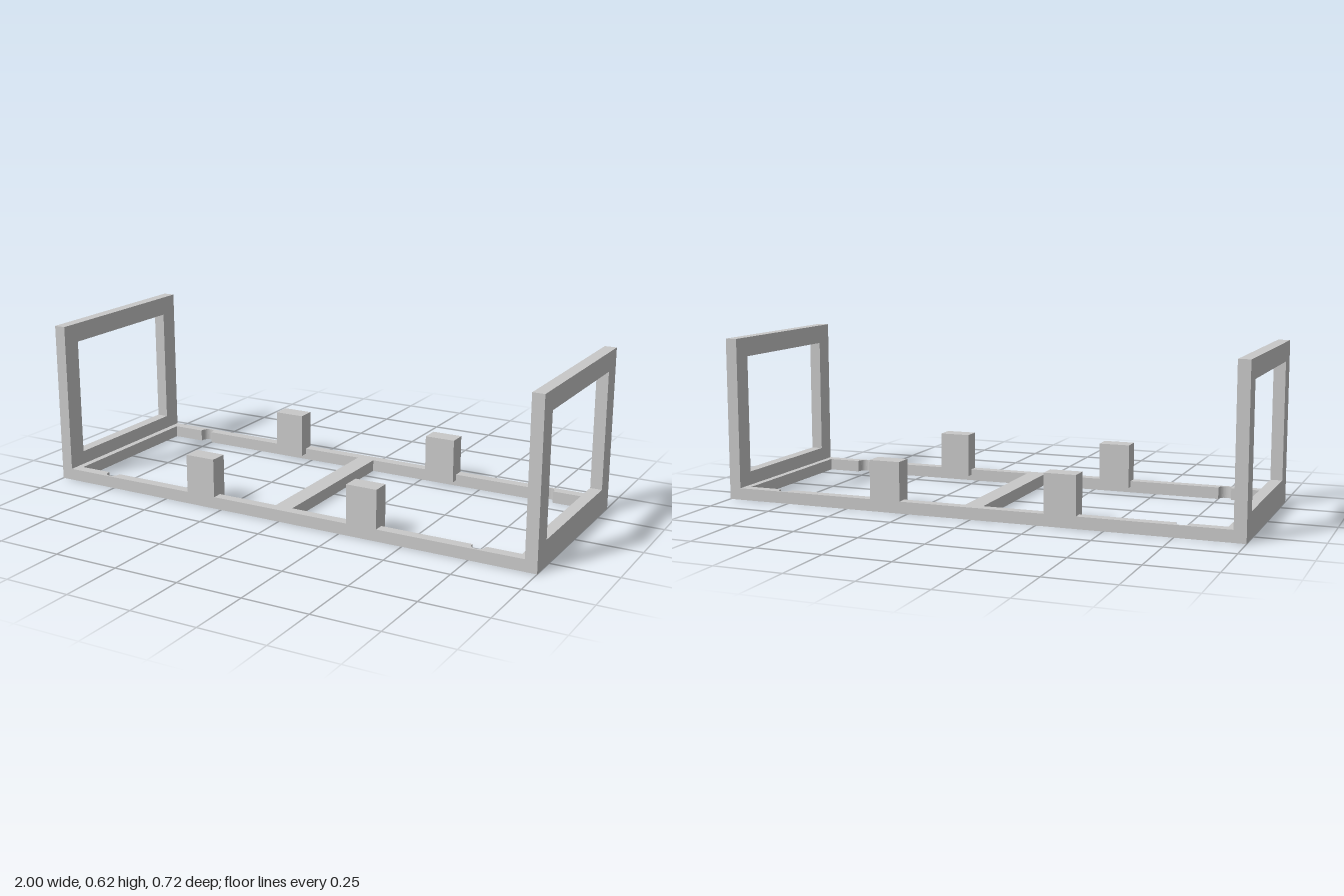
import * as THREE from 'three';

const frameGrey = new THREE.MeshStandardMaterial({ color: 0xc8c8c8 });
frameGrey.name = 'frameGrey';

// Rectangle path centred on x = 0
function rectangle(path, halfWidth, bottom, top) {
  path.moveTo(-halfWidth, bottom);
  path.lineTo(halfWidth, bottom);
  path.lineTo(halfWidth, top);
  path.lineTo(-halfWidth, top);
  path.closePath();
  return path;
}

// Opening of the base on one side, with a round notch in each long rail
function baseOpening(side) {
  const inner = 0.035, outer = 0.93, edge = 0.32;
  const notchX = 0.775, notchR = 0.025, notchZ = 0.328;
  const points = [[inner, -edge], [notchX - notchR, -edge]];
  const steps = 16;
  for (let i = 0; i <= steps; i++) {
    const a = Math.PI + (Math.PI * i) / steps;
    points.push([notchX + notchR * Math.cos(a), -notchZ + notchR * Math.sin(a)]);
  }
  points.push([notchX + notchR, -edge], [outer, -edge]);
  // Mirror the lower half to finish the loop
  const mirrored = points.map(([x, y]) => [x, -y]).reverse();
  return new THREE.Path([...points, ...mirrored].map(([x, y]) => new THREE.Vector2(side * x, y)));
}

export function createModel() {
  const model = new THREE.Group();
  model.name = 'rackFrame';
  const add = (name, geometry, x = 0, y = 0, z = 0) => {
    const mesh = new THREE.Mesh(geometry, frameGrey);
    mesh.name = name;
    mesh.position.set(x, y, z);
    model.add(mesh);
  };

  // Flat base with two openings and a middle crossbar
  const baseShape = rectangle(new THREE.Shape(), 1, -0.36, 0.36);
  baseShape.holes.push(baseOpening(1), baseOpening(-1));
  const base = new THREE.ExtrudeGeometry(baseShape, { depth: 0.045, bevelEnabled: false });
  base.rotateX(-Math.PI / 2);
  add('baseFrame', base);

  // Upright end frames with a rectangular window
  const endShape = rectangle(new THREE.Shape(), 0.36, 0.022, 0.619);
  endShape.holes.push(rectangle(new THREE.Path(), 0.284, 0.097, 0.546));
  const end = new THREE.ExtrudeGeometry(endShape, { depth: 0.045, bevelEnabled: false });
  end.rotateY(Math.PI / 2);
  add('leftEndFrame', end, 0.955);
  add('rightEndFrame', end, -1);

  // Four blocks standing on the long rails
  const block = new THREE.BoxGeometry(0.12, 0.17, 0.07);
  for (const x of [-1, 1]) {
    for (const z of [-1, 1]) {
      add(`${z > 0 ? 'front' : 'back'}${x > 0 ? 'Left' : 'Right'}Block`, block, x * 0.34, 0.107, z * 0.325);
    }
  }
  return model;
}
